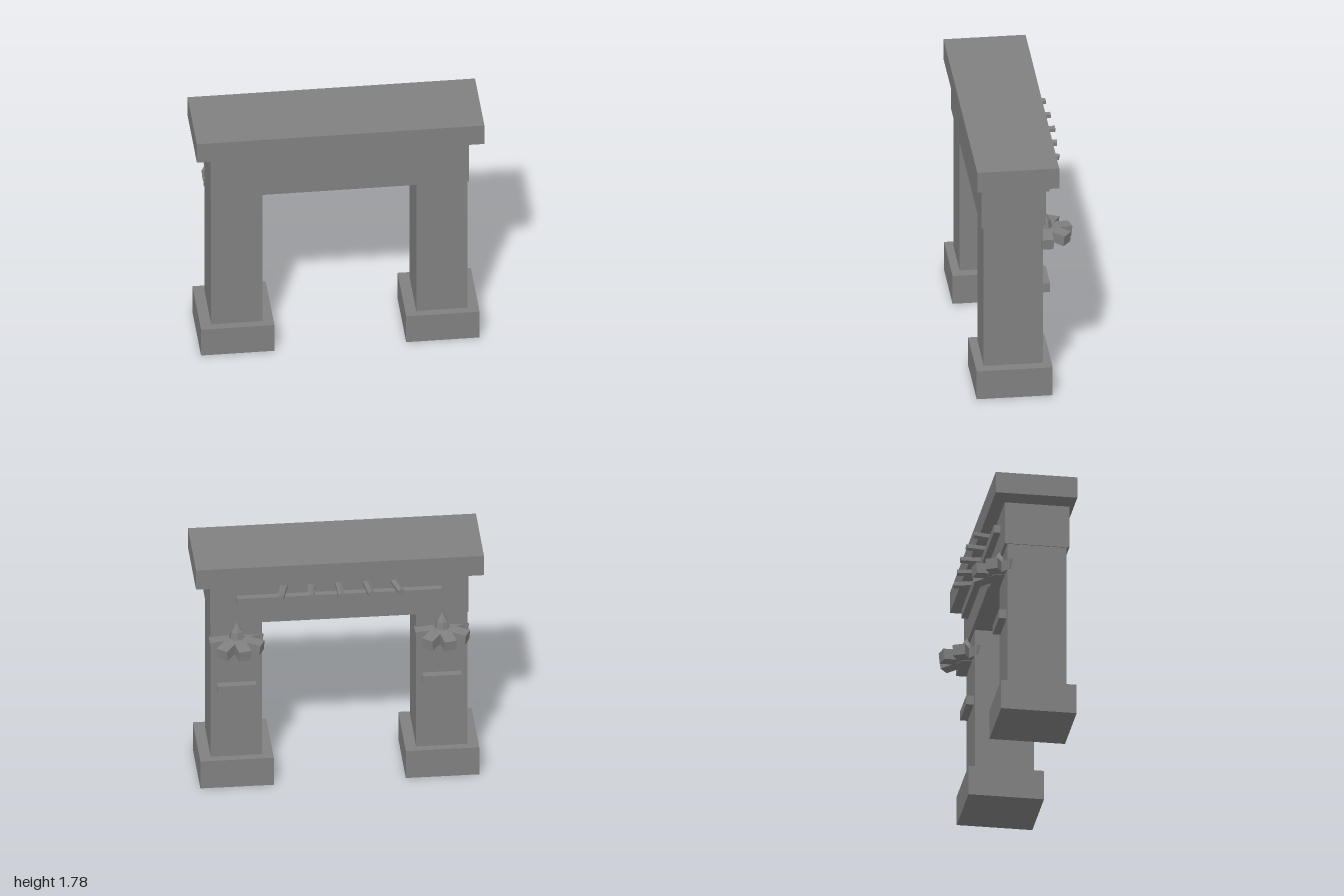
import * as THREE from 'three';

export function createModel() {
  const model = new THREE.Group();
  model.name = 'fireplaceSurround';
  const stone = new THREE.MeshStandardMaterial({ color: 0x808080 });
  stone.name = 'greyStone';
  stone.flatShading = true;

  const add = (parent, name, geometry) => {
    const mesh = new THREE.Mesh(geometry, stone);
    mesh.name = name;
    parent.add(mesh);
    return mesh;
  };
  // Box given by its limits on each axis
  const block = (name, [x0, x1], [y0, y1], [z0, z1]) => {
    const mesh = add(model, name, new THREE.BoxGeometry(x1 - x0, y1 - y0, z1 - z0));
    mesh.position.set((x0 + x1) / 2, (y0 + y1) / 2, (z0 + z1) / 2);
  };

  // Mantel shelf and lintel
  block('mantelShelf', [-1, 1], [1.63, 1.785], [-0.226, 0.345]);
  block('lintel', [-0.9, 0.896], [1.293, 1.605], [-0.146, 0.305]);
  block('lintelRail', [-0.712, 0.712], [1.458, 1.517], [-0.193, -0.14]);

  // Six-sided pegs fanned out along the back of the lintel
  for (let i = -2; i <= 2; i++) {
    const geometry = new THREE.CylinderGeometry(0.024, 0.028, 0.18, 6);
    geometry.translate(0, 0.09, 0).rotateX(-Math.PI / 2);
    const peg = add(model, 'peg', geometry);
    peg.position.set(i * 0.188, 1.568, -0.133 + Math.abs(i) * 0.008);
    peg.rotation.y = -i * 0.12;
  }

  // Pillars with plinths, back ledges and flower ornaments
  for (const x of [-0.716, 0.711]) {
    block('plinth', [x - 0.255, x + 0.255], [0, 0.217], [-0.184, 0.345]);
    block('pillar', [x - 0.178, x + 0.178], [0.21, 1.3], [-0.127, 0.287]);
    block('pillarLedge', [x - 0.135, x + 0.135], [0.743, 0.81], [-0.18, -0.12]);

    const flower = new THREE.Group();
    flower.name = 'flowerOrnament';
    flower.position.set(x, 1.15, -0.156);
    model.add(flower);
    const hub = add(flower, 'flowerHub', new THREE.CylinderGeometry(0.042, 0.07, 0.13, 6));
    hub.position.y = 0.025;
    const tip = add(flower, 'flowerTip', new THREE.ConeGeometry(0.042, 0.07, 6));
    tip.position.y = 0.125;

    // Seven petals, drooping slightly outward
    for (let i = 0; i < 7; i++) {
      const geometry = new THREE.BoxGeometry(0.14, 0.077, 0.087);
      geometry.rotateZ(-0.1).translate(0.117, -0.003, 0);
      add(flower, 'petal', geometry).rotation.y = (i * Math.PI * 2) / 7;
    }
  }
  return model;
}
